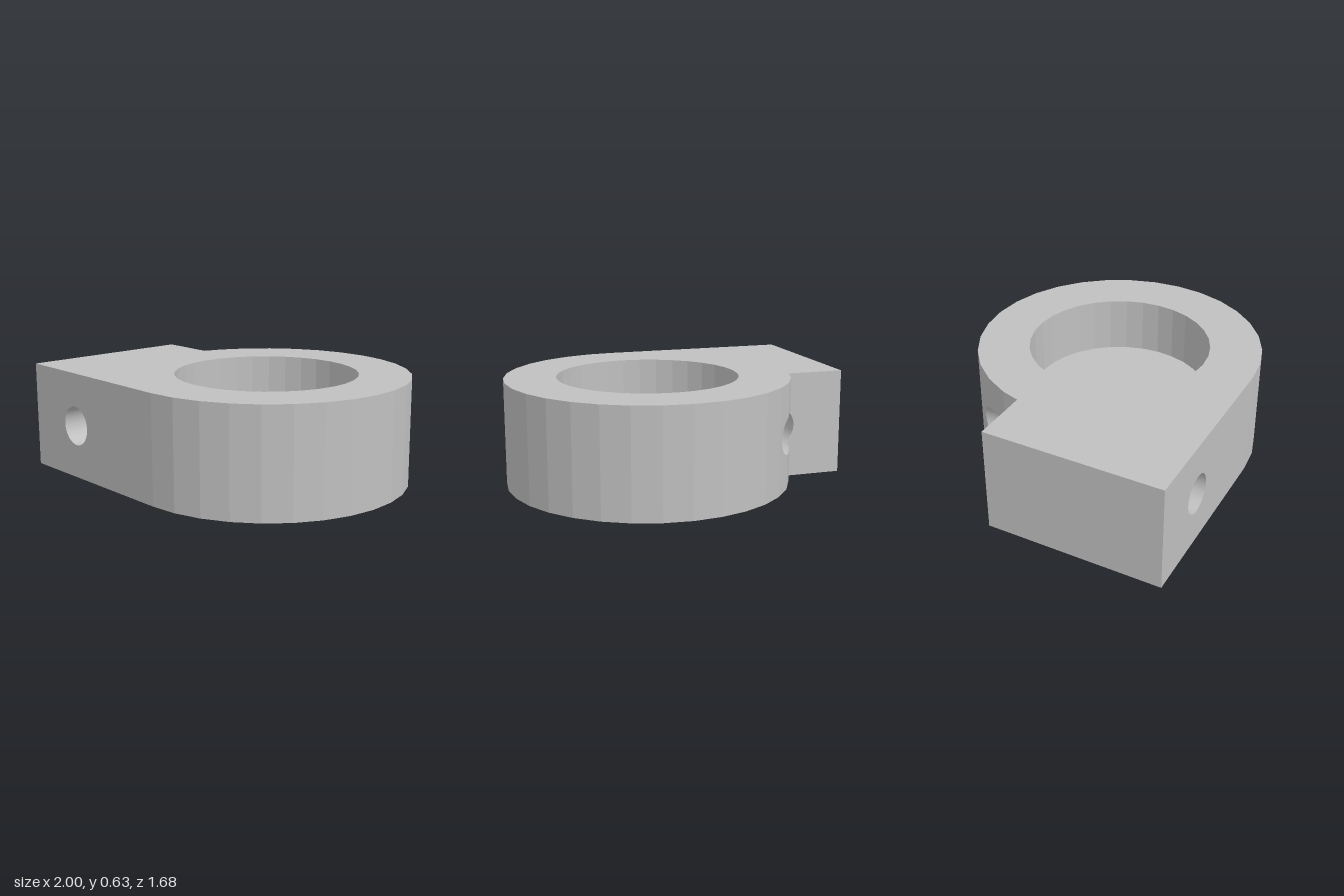
import * as THREE from 'three';

const U = 2 / 95;                       // one design unit
const CX = 7.5 * U, R = 40 * U;         // round boss: centre and radius
const H = 30 * U;                       // overall height
const POCKET_R = 25.5 * U, FLOOR = 14 * U;
const BACK = -10 * U;                   // back face of the clamp block
const BORE_X = -27.5 * U, BORE_Y = 15 * U, BORE_R = 5.5 * U;
const SIDES = 32, BORE_SIDES = 48;

// point on a circle about the boss centre, from the front, towards +x
function ring(radius, k) {
  const t = (k / SIDES) * Math.PI * 2;
  return { x: CX + radius * Math.sin(t), z: radius * Math.cos(t) };
}

// flat-shaded surface from four-cornered faces
function quadGeometry(quads) {
  const pos = [];
  for (const [a, b, c, d] of quads) pos.push(...a, ...b, ...c, ...a, ...c, ...d);
  const g = new THREE.BufferGeometry();
  g.setAttribute('position', new THREE.Float32BufferAttribute(pos, 3));
  g.computeVertexNormals();
  return g;
}

export function createModel() {
  const group = new THREE.Group();
  const grey = new THREE.MeshStandardMaterial({ color: 0xc0c0c0 });
  const add = (name, geometry) => {
    const mesh = new THREE.Mesh(geometry, grey);
    mesh.name = name;
    group.add(mesh);
    return mesh;
  };

  // plan outline: block front corner, round boss, notch, block back corner
  const outline = [{ x: -1, z: R }];
  for (let k = 0; k <= 22; k++) outline.push(ring(R, k));
  const p = ring(R, 22), q = ring(R, 23);
  outline.push({ x: p.x + (q.x - p.x) * (BACK - p.z) / (q.z - p.z), z: BACK });
  outline.push({ x: -1, z: BACK });

  // x positions where the walls are split around the cross bore
  const inBore = (x) => Math.abs(x - BORE_X) < BORE_R + 1e-6;
  const cuts = outline.map((v) => v.x).filter(inBore);
  for (let i = 0; i <= BORE_SIDES / 2; i++) {
    cuts.push(BORE_X - BORE_R * Math.cos((i / BORE_SIDES) * Math.PI * 2));
  }
  const half = (x) => Math.sqrt(Math.max(0, BORE_R ** 2 - (x - BORE_X) ** 2));

  // outer walls with the bore openings, and the bore lining
  const walls = [], bore = [];
  outline.forEach((a, i) => {
    const b = outline[(i + 1) % outline.length];
    const inner = cuts.map((x) => (x - a.x) / (b.x - a.x))
      .filter((t) => t > 1e-5 && t < 1 - 1e-5).sort((m, n) => m - n);
    const stops = [0, ...inner, 1].map((t) => ({
      x: a.x + (b.x - a.x) * t, z: a.z + (b.z - a.z) * t,
    }));
    for (let j = 0; j + 1 < stops.length; j++) {
      const s = stops[j], e = stops[j + 1];
      const at = (v, y, z = v.z) => [v.x, y, z];
      if (!inBore((s.x + e.x) / 2)) {
        walls.push([at(s, 0), at(e, 0), at(e, H), at(s, H)]);
        continue;
      }
      const hs = half(s.x), he = half(e.x);
      walls.push([at(s, 0), at(e, 0), at(e, BORE_Y - he), at(s, BORE_Y - hs)]);
      walls.push([at(s, BORE_Y + hs), at(e, BORE_Y + he), at(e, H), at(s, H)]);
      if (s.z < 0) {
        const lining = (sign) => [
          at(s, BORE_Y + sign * hs), at(e, BORE_Y + sign * he),
          at(e, BORE_Y + sign * he, R), at(s, BORE_Y + sign * hs, R),
        ];
        bore.push(lining(-1), lining(1).reverse());
      }
    }
  });
  add('outerWalls', quadGeometry(walls));
  add('crossBore', quadGeometry(bore));

  // top face with the pocket opening
  const pocket = Array.from({ length: SIDES }, (_, k) => ring(POCKET_R, k));
  const topShape = new THREE.Shape(outline.map((v) => new THREE.Vector2(v.x, -v.z)));
  topShape.holes.push(new THREE.Path(pocket.map((v) => new THREE.Vector2(v.x, -v.z))));
  add('topFace', new THREE.ShapeGeometry(topShape).rotateX(-Math.PI / 2)).position.y = H;

  // closed underside
  const baseShape = new THREE.Shape(outline.map((v) => new THREE.Vector2(v.x, v.z)));
  add('underside', new THREE.ShapeGeometry(baseShape).rotateX(Math.PI / 2));

  // blind round pocket
  add('pocketWall', quadGeometry(pocket.map((a, k) => {
    const b = pocket[(k + 1) % SIDES];
    return [[b.x, FLOOR, b.z], [a.x, FLOOR, a.z], [a.x, H, a.z], [b.x, H, b.z]];
  })));
  add('pocketFloor', new THREE.CircleGeometry(POCKET_R, SIDES).rotateX(-Math.PI / 2))
    .position.set(CX, FLOOR, 0);

  return group;
}
